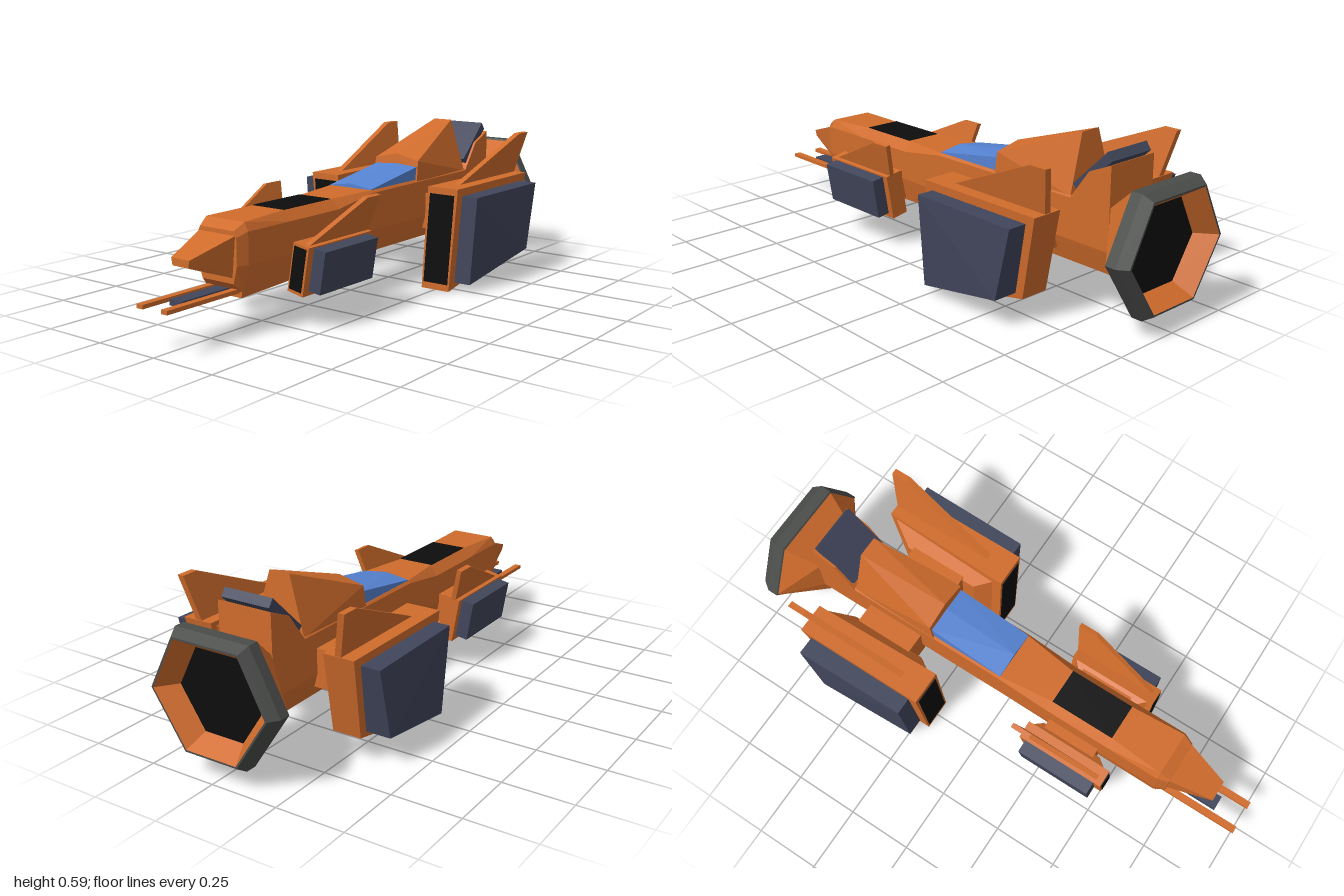
import * as THREE from 'three';
import { ConvexGeometry } from 'three/addons/geometries/ConvexGeometry.js';

const material = (name, color, extra = {}) => Object.assign(new THREE.MeshStandardMaterial({ color, ...extra }), { name });

export function createModel() {
  const orange = material('orange hull', 0xd06c2c);
  const slate = material('slate armour', 0x41465b);
  const blue = material('blue glass', 0x5683d2);
  const black = material('black vent', 0x0d0d0d);
  const grey = material('dark grey metal', 0x4a4c4a);

  const model = new THREE.Group();
  model.name = 'spaceship';

  const add = (name, geometry, mat) => {
    const mesh = new THREE.Mesh(geometry, mat);
    mesh.name = name;
    model.add(mesh);
  };
  // Flat-faced convex solid around a few corner points
  const solid = (name, mat, pts) =>
    add(name, new ConvexGeometry(pts.map(p => new THREE.Vector3(...p))), mat);
  // Points given for +x, repeated for -x within one solid
  const symmetric = (name, mat, pts) =>
    solid(name, mat, pts.flatMap(([x, y, z]) => [[x, y, z], [-x, y, z]]));
  // Two mirrored copies of a solid
  const pair = (name, mat, pts) => {
    solid(name + 'Left', mat, pts);
    solid(name + 'Right', mat, pts.map(([x, y, z]) => [-x, y, z]));
  };
  // Side profile [z, y] given width by inner and outer x rules; the outer side may drop
  const prism = (profile, xIn, xOut, drop = 0) => profile.flatMap(([z, y]) =>
    [[xIn(y, z), y, z], [xOut(y, z), y - drop, z]]);
  const box = (name, mat, x0, x1, y0, y1, z0, z1) => {
    const g = new THREE.BoxGeometry(x1 - x0, y1 - y0, z1 - z0);
    g.translate((x0 + x1) / 2, (y0 + y1) / 2, (z0 + z1) / 2);
    add(name, g, mat);
  };

  // Fuselage: z, top half width, top y, shoulder y, bottom half width, bottom y, side half width
  const stations = [
    [0.71, 0.075, 0.365, 0.345, 0.07, 0.19, 0.085],
    [0.67, 0.085, 0.39, 0.36, 0.08, 0.148, 0.1],
    [0.46, 0.07, 0.395, 0.36, 0.08, 0.15, 0.1],
    [0.2, 0.07, 0.395, 0.36, 0.08, 0.16, 0.1],
    [0, 0.095, 0.4, 0.39, 0.08, 0.165, 0.103],
    [-0.81, 0.1, 0.4, 0.395, 0.08, 0.165, 0.105],
  ].map(([z, wt, yt, ys, wb, yb, wm]) =>
    [[wt, yt, z], [wm, ys, z], [wm, 0.25, z], [wb, yb, z]]);
  for (let i = 0; i + 1 < stations.length; i++)
    symmetric('fuselage' + (i + 1), orange, [...stations[i], ...stations[i + 1]]);

  // Nose, chin and guns
  symmetric('nose', orange, [[0.08, 0.35, 0.71], [0.065, 0.21, 0.71], [0.04, 0.295, 0.875], [0.035, 0.27, 0.875]]);
  symmetric('chin', orange, [[0.08, 0.175, 0.68], [0.075, 0.138, 0.68], [0.08, 0.175, 0.4], [0.075, 0.15, 0.4]]);
  box('centreGun', slate, -0.027, 0.027, 0.147, 0.167, 0.66, 0.9);
  for (const s of [-1, 1])
    box(s > 0 ? 'prongLeft' : 'prongRight', orange, s * 0.054 - 0.013, s * 0.054 + 0.013, 0.154, 0.168, 0.66, 1);

  // Top vent and canopy
  box('topVent', black, -0.07, 0.07, 0.391, 0.397, 0.21, 0.46);
  solid('canopy', blue, [
    [-0.095, 0.395, 0], [0.095, 0.395, 0], [-0.095, 0.402, 0], [0.095, 0.402, 0], [0, 0.415, 0],
    [-0.095, 0.395, -0.3], [0.095, 0.395, -0.3], [-0.095, 0.45, -0.3], [0.095, 0.45, -0.3], [0, 0.457, -0.3]]);

  // Spine behind the canopy, then the tail block with its sloping plate
  symmetric('spine', orange, [
    [0.103, 0.395, -0.29], [0.1, 0.472, -0.3], [0, 0.495, -0.3],
    [0.04, 0.6, -0.63], [0.1, 0.395, -0.64]]);
  symmetric('tailBlock', orange, [[-0.64, 0.39], [-0.72, 0.5], [-0.81, 0.54], [-0.81, 0.39]].map(([z, y]) => [0.105, y, z]));
  symmetric('tailPlate', slate, [[-0.645, 0.44], [-0.785, 0.577], [-0.805, 0.55], [-0.665, 0.42]].map(([z, y]) => [0.095, y, z]));

  // Engine: six-sided flare, metal rim, inner funnel and dark exhaust
  const hex = [[0.255, 0.283], [0.145, 0.495], [-0.145, 0.495], [-0.255, 0.283], [-0.115, 0.07], [0.115, 0.07]];
  const ring = (z, s) => hex.map(([x, y]) => [x * s, 0.283 + (y - 0.283) * s, z]);
  const loft = rings => {
    const pos = [];
    for (let r = 0; r + 1 < rings.length; r++)
      for (let i = 0; i < 6; i++) {
        const j = (i + 1) % 6;
        const [a, b, c, d] = [rings[r][i], rings[r][j], rings[r + 1][j], rings[r + 1][i]];
        pos.push(...a, ...d, ...c, ...a, ...c, ...b);
      }
    const g = new THREE.BufferGeometry();
    g.setAttribute('position', new THREE.Float32BufferAttribute(pos, 3));
    g.computeVertexNormals();
    return g;
  };
  solid('engineFlare', orange, [...ring(-0.925, 0.99),
    ...[[0.1, 0.4], [0.105, 0.25], [0.08, 0.165]].flatMap(([x, y]) => [[x, y, -0.81], [-x, y, -0.81]])]);
  add('engineRim', loft([ring(-0.92, 0.97), ring(-0.925, 1), ring(-0.965, 1), ring(-1, 0.9), ring(-1, 0.87)]), grey);
  add('engineFunnel', loft([ring(-1, 0.87), ring(-0.93, 0.66)]), orange);
  solid('exhaust', black, [...ring(-0.925, 0.67), ...ring(-0.932, 0.67)]);

  // Rear pods with pylons, intakes, armour and fins
  const rIn = y => 0.19 + 0.06 * y, rOut = y => 0.31 + 0.085 * y;
  pair('rearPod', orange, prism([[-0.2, 0.006], [-0.2, 0.4], [-0.715, 0.4], [-0.645, 0.1]],
    (y, z) => rIn(y) + (z < -0.5 ? 0.015 : 0), rOut));
  pair('rearPodBulge', orange, [
    ...prism([[-0.21, 0.02], [-0.21, 0.39], [-0.7, 0.39], [-0.635, 0.11]], y => rIn(y) + 0.02, y => rIn(y) + 0.04),
    [0.168, 0.13, -0.3], [0.172, 0.33, -0.3], [0.172, 0.33, -0.6], [0.17, 0.16, -0.58]]);
  pair('rearPylon', orange, prism([[-0.35, 0.2], [-0.35, 0.34], [-0.58, 0.34], [-0.58, 0.2]], () => 0.08, () => 0.19));
  pair('rearIntake', black, prism([[-0.197, 0.032], [-0.197, 0.375], [-0.204, 0.375], [-0.204, 0.032]],
    y => 0.198 + 0.07 * y, y => 0.303 + 0.07 * y));
  pair('rearArmour', slate, prism([[-0.237, 0.036], [-0.237, 0.37], [-0.675, 0.37], [-0.615, 0.113]],
    y => rOut(y) - 0.01, (y, z) => (z > -0.4 ? 0.378 + 0.075 * y : 0.412)));
  pair('rearFin', orange, prism([[-0.28, 0.392], [-0.68, 0.56], [-0.745, 0.56], [-0.71, 0.392]],
    y => 0.27 + 0.24 * (y - 0.4), y => 0.294 + 0.24 * (y - 0.4)));

  // Front pods, smaller and leaning further out
  const fIn = y => 0.125 + 0.17 * (y - 0.135), fOut = y => 0.19 + 0.17 * (y - 0.135);
  const frontBox = (z0, z1, y0, y1) => [[z1, y0], [z1, y1], [z0, y1], [z0, y0]];
  pair('frontPod', orange, prism(frontBox(0.165, 0.51, 0.135, 0.305), fIn, fOut, 0.013));
  pair('frontPodBulge', orange, [...prism(frontBox(0.17, 0.5, 0.145, 0.295), y => fIn(y) + 0.01, y => fIn(y) + 0.02),
    [0.115, 0.17, 0.45], [0.12, 0.27, 0.45], [0.12, 0.27, 0.21], [0.115, 0.17, 0.21]]);
  pair('frontPylon', orange, prism(frontBox(0.22, 0.43, 0.168, 0.28), () => 0.07, () => 0.14));
  pair('frontIntake', black, prism(frontBox(0.506, 0.513, 0.145, 0.294), y => fIn(y) + 0.007, y => fOut(y) - 0.008, 0.009));
  pair('frontArmour', slate, prism(frontBox(0.19, 0.482, 0.14, 0.288),
    y => fOut(y) - 0.005, y => 0.24 + 0.165 * (y - 0.135), 0.009));
  pair('frontFin', orange, prism([[0.495, 0.295], [0.215, 0.423], [0.14, 0.423], [0.165, 0.295]],
    y => 0.186 + 0.28 * (y - 0.3), y => 0.204 + 0.28 * (y - 0.3), 0.004));

  return model;
}
